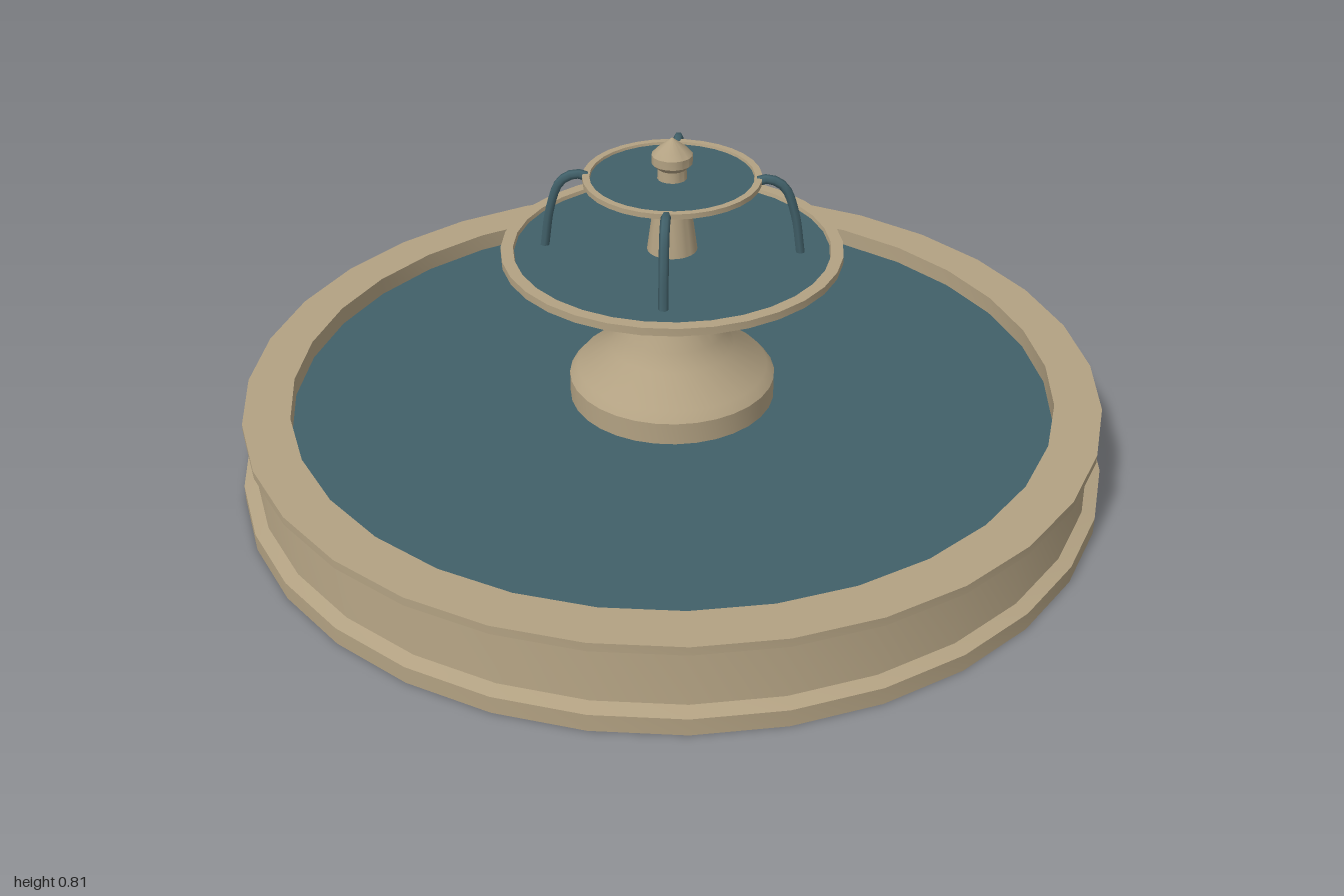
import * as THREE from 'three';
import { toCreasedNormals } from 'three/addons/utils/BufferGeometryUtils.js';

const SIDES = 32;

export function createModel() {
  const group = new THREE.Group();
  const stone = new THREE.MeshStandardMaterial({ color: 0xb2a182, side: THREE.DoubleSide });
  stone.name = 'stone';
  const water = new THREE.MeshStandardMaterial({ color: 0x416069, side: THREE.DoubleSide });
  water.name = 'water';

  const add = (name, geometry, material) => {
    const mesh = new THREE.Mesh(geometry, material);
    mesh.name = name;
    group.add(mesh);
    return mesh;
  };

  // Turned stone part from a radius/height profile, a flat side facing front
  const turned = (name, profile, sides = SIDES) => {
    const points = profile.map(([r, y]) => new THREE.Vector2(r, y));
    const lathe = new THREE.LatheGeometry(points, sides, Math.PI / sides);
    return add(name, toCreasedNormals(lathe, 0.55), stone);
  };

  // Flat water surface
  const pool = (name, radius, y) => {
    const disc = new THREE.CircleGeometry(radius, SIDES, Math.PI / SIDES);
    disc.rotateX(-Math.PI / 2);
    add(name, disc, water).position.y = y;
  };

  // Basin wall: plinth, wall, overhanging rim, inner face; open underneath
  turned('basin', [
    [1.005, 0], [1.005, 0.04], [0.975, 0.05], [0.965, 0.165],
    [0.985, 0.18], [0.992, 0.185], [0.992, 0.205], [0.885, 0.205], [0.885, 0.14],
  ]);
  pool('basinWater', 0.885, 0.162);

  // Pedestal under the large bowl
  turned('pedestal', [
    [0.24, 0.138], [0.24, 0.215], [0.222, 0.237], [0.145, 0.29],
    [0.125, 0.33], [0.1, 0.38], [0.087, 0.425],
  ]);

  // Large bowl
  turned('largeBowl', [
    [0.085, 0.42], [0.12, 0.437], [0.25, 0.478], [0.375, 0.522],
    [0.388, 0.527], [0.388, 0.545], [0.36, 0.545], [0.355, 0.525],
  ]);
  pool('largeBowlWater', 0.36, 0.536);

  // Stem between the bowls
  turned('stem', [[0.058, 0.53], [0.05, 0.59], [0.042, 0.645]]);

  // Small bowl
  turned('smallBowl', [
    [0.042, 0.637], [0.065, 0.648], [0.12, 0.676], [0.185, 0.701],
    [0.2, 0.705], [0.2, 0.717], [0.184, 0.717], [0.18, 0.7],
  ]);
  pool('smallBowlWater', 0.184, 0.711);

  // Finial
  turned('finial', [
    [0.034, 0.705], [0.032, 0.735], [0.046, 0.748], [0.046, 0.768],
    [0.035, 0.78], [0, 0.808],
  ], 16);

  // Four jets falling from the small bowl to the large one
  const path = new THREE.CatmullRomCurve3([
    [0.19, 0.708], [0.215, 0.714], [0.25, 0.695], [0.275, 0.63], [0.29, 0.535],
  ].map(([r, y]) => new THREE.Vector3(r, y, 0)));
  for (let i = 0; i < 4; i++) {
    const jet = add('waterJet', new THREE.TubeGeometry(path, 12, 0.011, 6), water);
    jet.rotation.y = Math.PI / 4 + i * Math.PI / 2;
  }

  return group;
}
